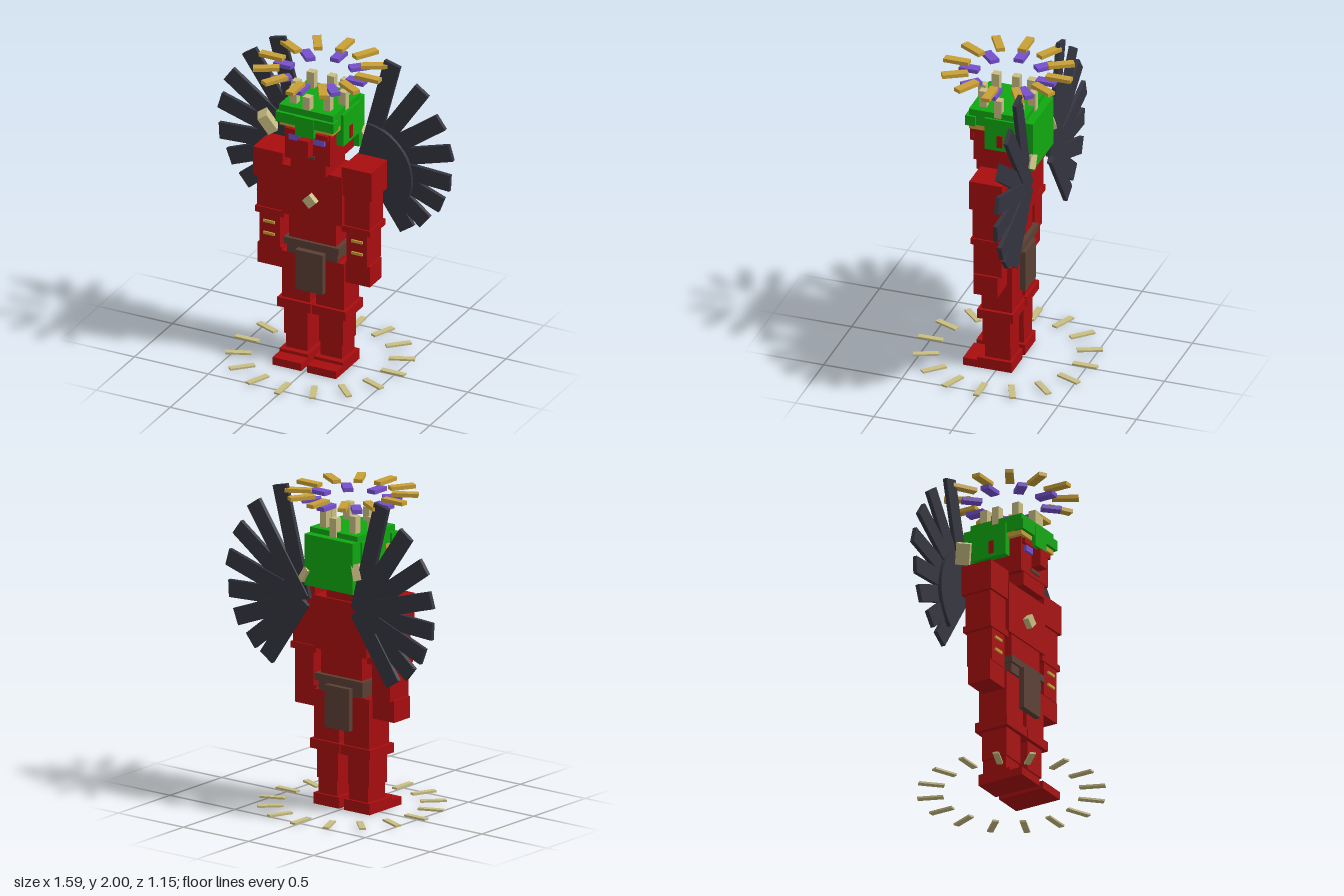
import * as THREE from 'three';

const mat = (name, color) => {
  const m = new THREE.MeshStandardMaterial({ color });
  m.name = name;
  return m;
};

export function createModel() {
  const red = mat('red skin', 0xa80d0f);
  const green = mat('green hair', 0x10a810);
  const dark = mat('dark feather', 0x34343f);
  const tan = mat('bone', 0xc8bd82);
  const gold = mat('gold', 0xc8a035);
  const purple = mat('purple', 0x7550cc);
  const brown = mat('brown leather', 0x5a4034);

  const model = new THREE.Group();
  model.name = 'wingedFigure';

  // box given by its min and max on each axis
  const box = (name, m, x0, x1, y0, y1, z0, z1, parent = model) => {
    const mesh = new THREE.Mesh(new THREE.BoxGeometry(x1 - x0, y1 - y0, z1 - z0), m);
    mesh.position.set((x0 + x1) / 2, (y0 + y1) / 2, (z0 + z1) / 2);
    mesh.name = name;
    parent.add(mesh);
    return mesh;
  };
  // the same box on both sides
  const pair = (name, m, x0, x1, ...rest) => {
    box(name + 'Left', m, x0, x1, ...rest);
    box(name + 'Right', m, -x1, -x0, ...rest);
  };
  // box turned about its own centre
  const turned = (name, m, size, pos, rot) => {
    const mesh = new THREE.Mesh(new THREE.BoxGeometry(...size), m);
    mesh.position.set(...pos);
    mesh.rotation.set(...rot);
    mesh.name = name;
    model.add(mesh);
  };
  // ring of radial bars
  const ring = (name, m, count, r0, r1, width, y0, y1) => {
    const group = new THREE.Group();
    group.name = name;
    for (let i = 0; i < count; i++) {
      const spoke = new THREE.Group();
      spoke.rotation.y = (i / count) * Math.PI * 2;
      box(name + 'Bar', m, r0, r1, y0, y1, -width / 2, width / 2, spoke);
      group.add(spoke);
    }
    model.add(group);
  };

  // legs
  pair('toe', red, 0.02, 0.215, 0, 0.05, 0.1, 0.21);
  pair('foot', red, 0.02, 0.215, 0, 0.07, -0.1, 0.12);
  pair('ankle', red, 0.045, 0.19, 0.07, 0.165, -0.085, 0.08);
  pair('shin', red, 0.04, 0.2, 0.165, 0.35, -0.085, 0.09);
  pair('knee', red, 0.005, 0.232, 0.35, 0.41, -0.115, 0.115);
  pair('thigh', red, 0.02, 0.21, 0.41, 0.72, -0.1, 0.095);

  // torso
  box('hips', red, -0.17, 0.17, 0.65, 0.74, -0.095, 0.09);
  box('waist', red, -0.158, 0.158, 0.73, 0.98, -0.1, 0.1);
  box('chest', red, -0.205, 0.205, 0.98, 1.31, -0.115, 0.11);
  box('belt', brown, -0.185, 0.185, 0.785, 0.83, -0.13, 0.12);
  box('lowerBelt', brown, -0.17, 0.17, 0.725, 0.785, -0.11, 0.105);
  box('frontCloth', brown, -0.093, 0.093, 0.51, 0.775, 0.11, 0.147);
  box('backCloth', brown, -0.093, 0.093, 0.51, 0.775, -0.145, -0.11);
  turned('chestGem', tan, [0.066, 0.066, 0.04], [0, 1.117, 0.128], [0, 0, Math.PI / 4]);

  // arms
  pair('shoulder', red, 0.2, 0.4, 1.19, 1.38, -0.105, 0.105);
  pair('upperArm', red, 0.21, 0.38, 0.98, 1.19, -0.09, 0.09);
  pair('elbow', red, 0.195, 0.39, 0.945, 0.985, -0.1, 0.1);
  pair('forearm', red, 0.225, 0.365, 0.73, 0.945, -0.088, 0.09);
  pair('hand', red, 0.215, 0.38, 0.6, 0.735, -0.07, 0.085);
  for (const y of [0.805, 0.885]) pair('armBand', gold, 0.26, 0.335, y, y + 0.017, 0.085, 0.1);

  // head and face
  box('jaw', red, -0.117, 0.117, 1.31, 1.5, -0.1, 0.16);
  box('head', red, -0.153, 0.153, 1.395, 1.64, -0.155, 0.165);
  box('brow', red, -0.145, 0.145, 1.572, 1.605, 0.16, 0.187);
  box('nose', red, -0.037, 0.037, 1.455, 1.565, 0.15, 0.23);
  box('mouth', brown, -0.05, 0.05, 1.422, 1.442, 0.16, 0.173);
  pair('eye', purple, 0.045, 0.12, 1.53, 1.57, 0.16, 0.182);
  pair('ear', red, 0.19, 0.205, 1.53, 1.61, -0.035, 0);

  // hair
  box('hairCap', green, -0.183, 0.183, 1.65, 1.753, -0.175, 0.185);
  box('headBand', gold, -0.18, 0.18, 1.617, 1.65, 0.07, 0.185);
  pair('sideHair', green, 0.15, 0.198, 1.505, 1.715, -0.15, 0.08);
  box('fringe', green, -0.063, 0.063, 1.58, 1.71, 0.16, 0.21);
  pair('sideFringe', green, 0.063, 0.196, 1.645, 1.71, 0.14, 0.205);
  box('backHair', green, -0.185, 0.185, 1.4, 1.72, -0.226, -0.15);

  // crown spikes, taller on the diagonals
  for (let i = 0; i < 8; i++) {
    const a = (i * Math.PI) / 4;
    const x = 0.16 * Math.cos(a), z = 0.16 * Math.sin(a);
    box('crownSpike', tan, x - 0.024, x + 0.024, 1.72, i % 2 ? 1.86 : 1.838, z - 0.024, z + 0.024);
  }

  // loose bone shards behind the head and over the shoulder
  turned('shoulderShard', tan, [0.065, 0.13, 0.085], [-0.402, 1.463, -0.09], [0.15, 0.45, 0.47]);
  turned('hairShardRight', tan, [0.05, 0.1, 0.04], [-0.2, 1.54, -0.205], [0.3, 0.4, -0.35]);
  turned('hairShardLeft', tan, [0.05, 0.09, 0.04], [0.185, 1.465, -0.215], [0.3, -0.4, 0.6]);

  // halos above and ring on the ground
  ring('goldHalo', gold, 12, 0.245, 0.405, 0.052, 1.95, 1.974);
  ring('purpleHalo', purple, 8, 0.185, 0.305, 0.06, 1.91, 1.936);
  ring('groundRing', tan, 16, 0.415, 0.573, 0.038, 0.01, 0.022);

  // wings: feathers fanning from a root, with a flat fan plate in front
  const root = [0.21, 1.3];
  const tips = [[0.39, 1.988], [0.586, 1.846], [0.718, 1.666], [0.782, 1.47],
    [0.78, 1.27], [0.718, 1.105], [0.613, 0.972], [0.486, 0.893]];
  const fan = new THREE.Shape();
  fan.moveTo(0.17, 1.3);
  fan.absarc(0.21, 1.235, 0.322, -0.85, 1.5, false);
  fan.closePath();
  const fanGeo = new THREE.ExtrudeGeometry(fan, { depth: 0.025, bevelEnabled: false, curveSegments: 12 });
  for (const s of [1, -1]) {
    const wing = new THREE.Group();
    wing.name = s > 0 ? 'leftWing' : 'rightWing';
    tips.forEach(([tx, ty], i) => {
      const dx = tx - root[0], dy = ty - root[1];
      const feather = new THREE.Mesh(new THREE.BoxGeometry(0.108, Math.hypot(dx, dy), 0.026), dark);
      feather.position.set(s * (root[0] + tx) / 2, (root[1] + ty) / 2, -0.198 - (i % 2) * 0.01);
      feather.rotation.z = -s * Math.atan2(dx, dy);
      feather.name = 'feather';
      wing.add(feather);
    });
    const plate = new THREE.Mesh(fanGeo, dark);
    plate.name = 'wingFan';
    // half turn puts the plate on the other side
    plate.rotation.y = s > 0 ? 0 : Math.PI;
    plate.position.z = s > 0 ? -0.19 : -0.165;
    wing.add(plate);
    model.add(wing);
  }
  return model;
}
